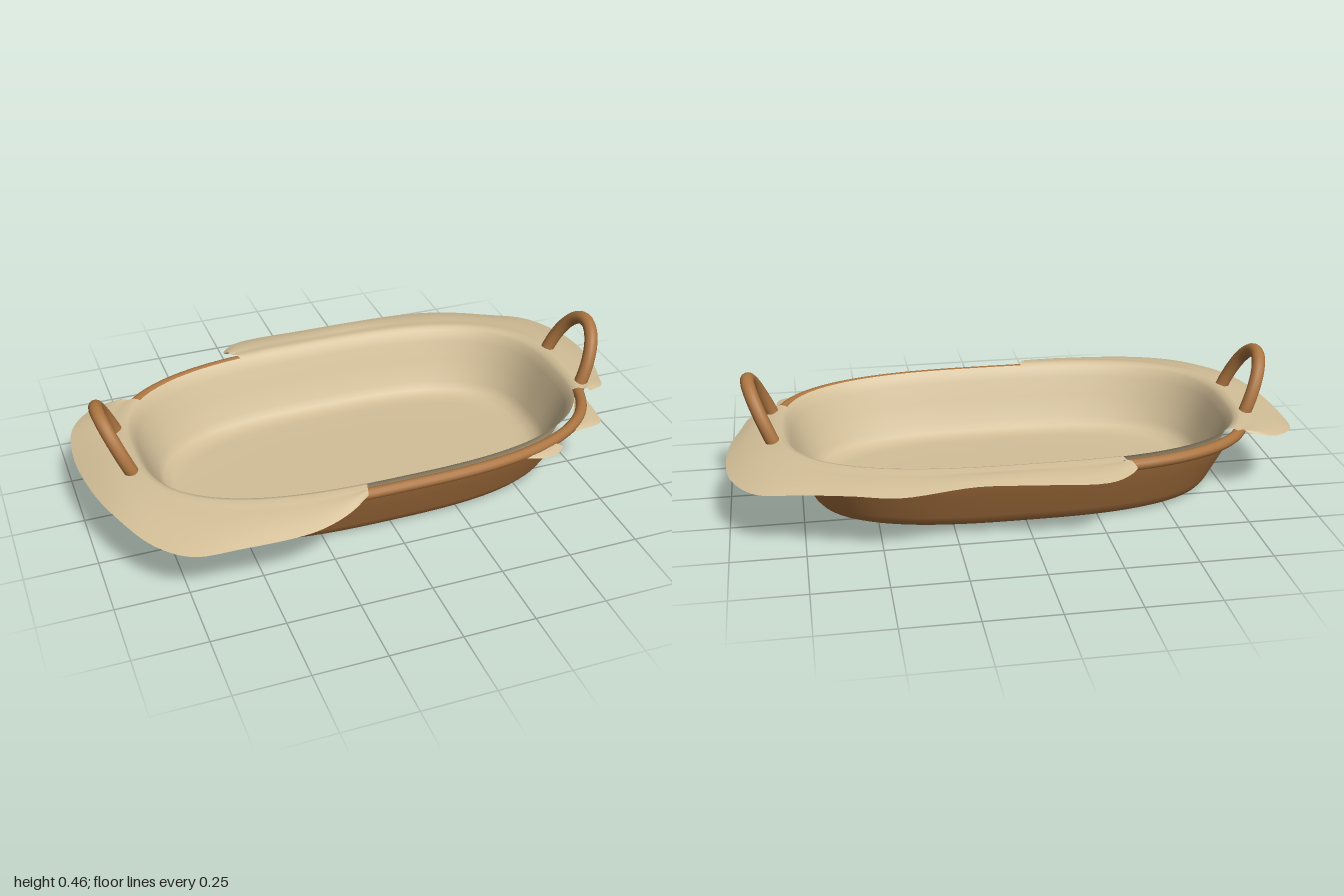
import * as THREE from 'three';

const SIDES = 120;
const v = (x, y, z) => new THREE.Vector3(x, y, z);

// Point on a rounded-oblong outline with half sizes a, b, in direction phi
function oblong(a, b, y, phi) {
  const n = 2.8, c = Math.cos(phi), s = Math.sin(phi);
  const r = Math.pow(Math.pow(Math.abs(c) / a, n) + Math.pow(Math.abs(s) / b, n), -1 / n);
  return v(r * c, y, r * s);
}

// Skin rows of points into one smooth surface; closed joins each row's ends
function skin(rows, closed) {
  const w = rows[0].length, index = [];
  for (let i = 0; i < rows.length - 1; i++) {
    for (let j = 0; j < (closed ? w : w - 1); j++) {
      const k = (j + 1) % w, p = i * w, q = p + w;
      index.push(p + j, p + k, q + j, p + k, q + k, q + j);
    }
  }
  const geometry = new THREE.BufferGeometry().setFromPoints(rows.flat());
  geometry.setIndex(index);
  geometry.computeVertexNormals();
  return geometry;
}

// Loft through [halfX, halfZ, y] sections
function loft(sections) {
  return skin(sections.map(([a, b, y]) =>
    Array.from({ length: SIDES }, (_, j) => oblong(a, b, y, (j / SIDES) * Math.PI * 2))), true);
}

// Cloth flap from the rim to a free edge given as [x, y, z] points
function flap(edge, rimRows) {
  const outer = new THREE.CatmullRomCurve3(edge.map(p => v(...p)), false, 'centripetal').getPoints(90);
  const rows = rimRows.map(([a, b, y]) => outer.map(p => oblong(a, b, y, Math.atan2(p.z, p.x))));
  const last = rows[rows.length - 1];
  for (const t of [0.2, 0.45, 0.72, 1]) {
    rows.push(outer.map((p, j) => {
      const q = last[j].clone().lerp(p, t);
      q.y += 0.008 * Math.sin(Math.PI * t);
      return q;
    }));
  }
  return skin(rows, false);
}

export function createModel() {
  const wicker = new THREE.MeshStandardMaterial({ name: 'brown wicker', color: 0xab7440 });
  const cloth = new THREE.MeshStandardMaterial({ name: 'cream cloth', color: 0xd3bf98, side: THREE.DoubleSide });
  const base = new THREE.MeshStandardMaterial({ name: 'grey base', color: 0xd6d6d6 });

  const group = new THREE.Group();
  group.name = 'linedBasket';
  const add = (name, geometry, material, parent = group) => {
    const mesh = new THREE.Mesh(geometry, material);
    mesh.name = name;
    parent.add(mesh);
    return mesh;
  };

  // Outer wall, from rim down to the rounded foot
  add('basketWall', loft([
    [0.815, 0.48, 0.245], [0.81, 0.48, 0.22], [0.77, 0.445, 0.14], [0.727, 0.405, 0.05],
    [0.715, 0.392, 0.028], [0.702, 0.378, 0.012], [0.685, 0.363, 0.003], [0.67, 0.35, 0],
  ]), wicker);
  add('basketBase', loft([[0.67, 0.35, 0], [0.001, 0.001, 0]]), base);

  // Rim rod
  const rimPath = new THREE.CatmullRomCurve3(
    Array.from({ length: 64 }, (_, i) => oblong(0.832, 0.492, 0.235, (i / 64) * Math.PI * 2)), true);
  add('rim', new THREE.TubeGeometry(rimPath, 160, 0.02, 12, true), wicker);

  // Cloth lining the inside
  add('clothLining', loft([
    [0.001, 0.001, 0.025], [0.4, 0.2, 0.025], [0.62, 0.3, 0.025], [0.665, 0.335, 0.029], [0.695, 0.362, 0.043],
    [0.715, 0.382, 0.07], [0.75, 0.415, 0.15], [0.777, 0.44, 0.215], [0.79, 0.455, 0.245], [0.805, 0.468, 0.259],
  ]), cloth);

  // Cloth folded over the rim in two wide flaps
  const overRim = [[0.796, 0.46, 0.25], [0.806, 0.47, 0.262], [0.825, 0.486, 0.267], [0.845, 0.503, 0.26]];
  add('backLeftFlap', flap([
    [-0.31, 0.255, -0.51], [-0.34, 0.25, -0.53], [-0.29, 0.245, -0.59], [-0.22, 0.24, -0.615],
    [0, 0.245, -0.605], [0.2, 0.25, -0.595], [0.45, 0.235, -0.605], [0.6, 0.235, -0.565],
    [0.75, 0.225, -0.51], [0.9, 0.21, -0.45], [0.98, 0.205, -0.32], [1, 0.208, -0.2],
    [0.99, 0.215, -0.05], [0.95, 0.225, 0.08], [0.92, 0.235, 0.15], [0.85, 0.25, 0.19],
  ], overRim), cloth);
  add('frontRightFlap', flap([
    [-0.14, 0.25, 0.52], [-0.22, 0.235, 0.57], [-0.35, 0.222, 0.61], [-0.6, 0.215, 0.605],
    [-0.75, 0.207, 0.58], [-0.85, 0.21, 0.49], [-0.93, 0.222, 0.33], [-0.98, 0.22, 0.15],
    [-1, 0.212, -0.1], [-0.97, 0.225, -0.25], [-0.88, 0.24, -0.33], [-0.79, 0.255, -0.325],
  ], overRim), cloth);

  // Small cloth corners showing beneath the rim
  const underRim = [[0.806, 0.474, 0.228]];
  add('cornerTuck', flap([[0.83, 0.225, 0.2], [0.825, 0.222, 0.28], [0.81, 0.22, 0.35], [0.7, 0.225, 0.38]], underRim), cloth);
  add('frontTuck', flap([[0.61, 0.225, 0.45], [0.58, 0.222, 0.475], [0.53, 0.22, 0.488], [0.46, 0.225, 0.475]], underRim), cloth);

  // Arched handles leaning outwards, with rounded ends
  for (const side of [1, -1]) {
    const handle = new THREE.Group();
    handle.name = side > 0 ? 'leftHandle' : 'rightHandle';
    const points = Array.from({ length: 17 }, (_, i) => {
      const t = (i / 16) * Math.PI, h = Math.sin(t);
      return v(side * (0.83 + 0.085 * h), 0.235 + 0.2 * h, 0.136 * Math.cos(t));
    });
    add('handleArch', new THREE.TubeGeometry(new THREE.CatmullRomCurve3(points), 48, 0.024, 14), wicker, handle);
    for (const p of [points[0], points[16]]) {
      add('handleEnd', new THREE.SphereGeometry(0.024, 14, 10), wicker, handle).position.copy(p);
    }
    group.add(handle);
  }
  return group;
}
